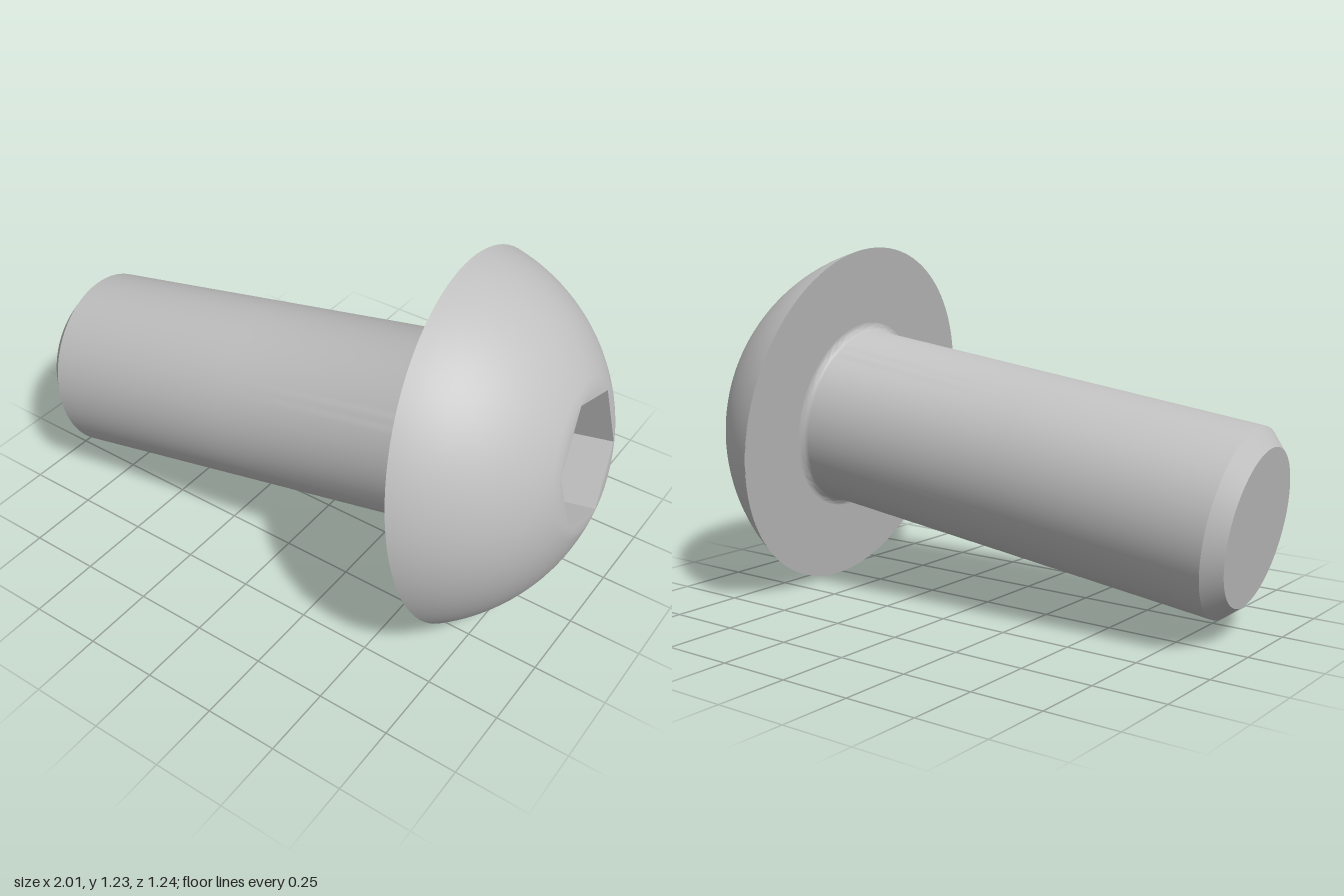
import * as THREE from 'three';
import { toCreasedNormals } from 'three/addons/utils/BufferGeometryUtils.js';

const SEGMENTS = 96;

// Radius of a hexagon outline (corner radius r) at angle a, with a corner at a = 0
function hexRadius(r, a) {
  const sector = Math.PI / 3;
  const local = a - Math.floor(a / sector + 1e-6) * sector;
  return r * Math.cos(sector / 2) / Math.cos(local - sector / 2);
}

// Skin a stack of rings round the y axis; each ring is { r, y, hex }
function skin(rings) {
  const pos = [], index = [], row = SEGMENTS;
  for (const { r, y, hex } of rings) {
    for (let i = 0; i < row; i++) {
      const a = (i / row) * Math.PI * 2;
      const rad = hex ? hexRadius(r, a) : r;
      pos.push(rad * Math.cos(a), y, rad * Math.sin(a));
    }
  }
  for (let j = 0; j < rings.length - 1; j++) {
    for (let i = 0; i < row; i++) {
      const k = (i + 1) % row;
      const a = j * row + i, b = j * row + k, c = a + row, d = b + row;
      // skip the collapsed triangles at a centre point
      if (rings[j].r > 0) index.push(a, c, b);
      if (rings[j + 1].r > 0) index.push(b, c, d);
    }
  }
  const geo = new THREE.BufferGeometry();
  geo.setAttribute('position', new THREE.Float32BufferAttribute(pos, 3));
  geo.setIndex(index);
  return toCreasedNormals(geo, 0.55);
}

export function createModel() {
  const steel = new THREE.MeshStandardMaterial({ color: 0xc0c0c0 });
  steel.name = 'steel grey';

  const bolt = new THREE.Group();
  bolt.name = 'buttonHeadBolt';
  const add = (name, rings) => {
    const mesh = new THREE.Mesh(skin(rings), steel);
    mesh.name = name;
    bolt.add(mesh);
  };

  const headR = 0.622, shaftR = 0.318, fillet = 0.028;
  const topY = 0.376, topR = 0.235, socketR = 0.229, socketDepth = 0.2;

  // Shaft: flat end, chamfer, straight side, fillet into the head
  const shaft = [
    { r: 0, y: -1.575 },
    { r: 0.263, y: -1.575 },
    { r: shaftR, y: -1.519 },
    { r: shaftR, y: -0.8 },
  ];
  for (let i = 0; i <= 6; i++) {
    const t = (i / 6) * Math.PI / 2;
    shaft.push({ r: shaftR + fillet * (1 - Math.cos(t)), y: -fillet * (1 - Math.sin(t)) });
  }
  add('shaft', shaft);

  // Flat bearing face under the head
  add('headUnderside', [{ r: shaftR + fillet, y: 0 }, { r: headR, y: 0 }]);

  // Spherical dome ending in a small flat that surrounds the socket
  const sphereR = 0.671, sphereY = -0.253;
  const rim = Math.asin(headR / sphereR), crown = Math.asin(topR / sphereR);
  const dome = [];
  for (let i = 0; i <= 20; i++) {
    const t = THREE.MathUtils.lerp(rim, crown, i / 20);
    dome.push({ r: sphereR * Math.sin(t), y: sphereY + sphereR * Math.cos(t) });
  }
  dome.push({ r: socketR, y: topY, hex: true });
  add('headDome', dome);

  // Hexagonal drive socket: walls and floor
  const floorY = topY - socketDepth;
  add('hexSocket', [
    { r: socketR, y: topY, hex: true },
    { r: socketR, y: floorY, hex: true },
    { r: 0, y: floorY },
  ]);

  // Lay the bolt along its tilted axis, with a socket corner pointing up
  const axis = new THREE.Vector3(1, 0.155, -0.09).normalize();
  const corner = new THREE.Vector3(-0.031, 0.223, 0.043);
  corner.addScaledVector(axis, -corner.dot(axis)).normalize();
  const side = new THREE.Vector3().crossVectors(corner, axis);
  bolt.quaternion.setFromRotationMatrix(new THREE.Matrix4().makeBasis(corner, axis, side));
  bolt.position.set(0.595, 0.62, 0);

  const model = new THREE.Group();
  model.name = 'model';
  model.add(bolt);
  return model;
}
